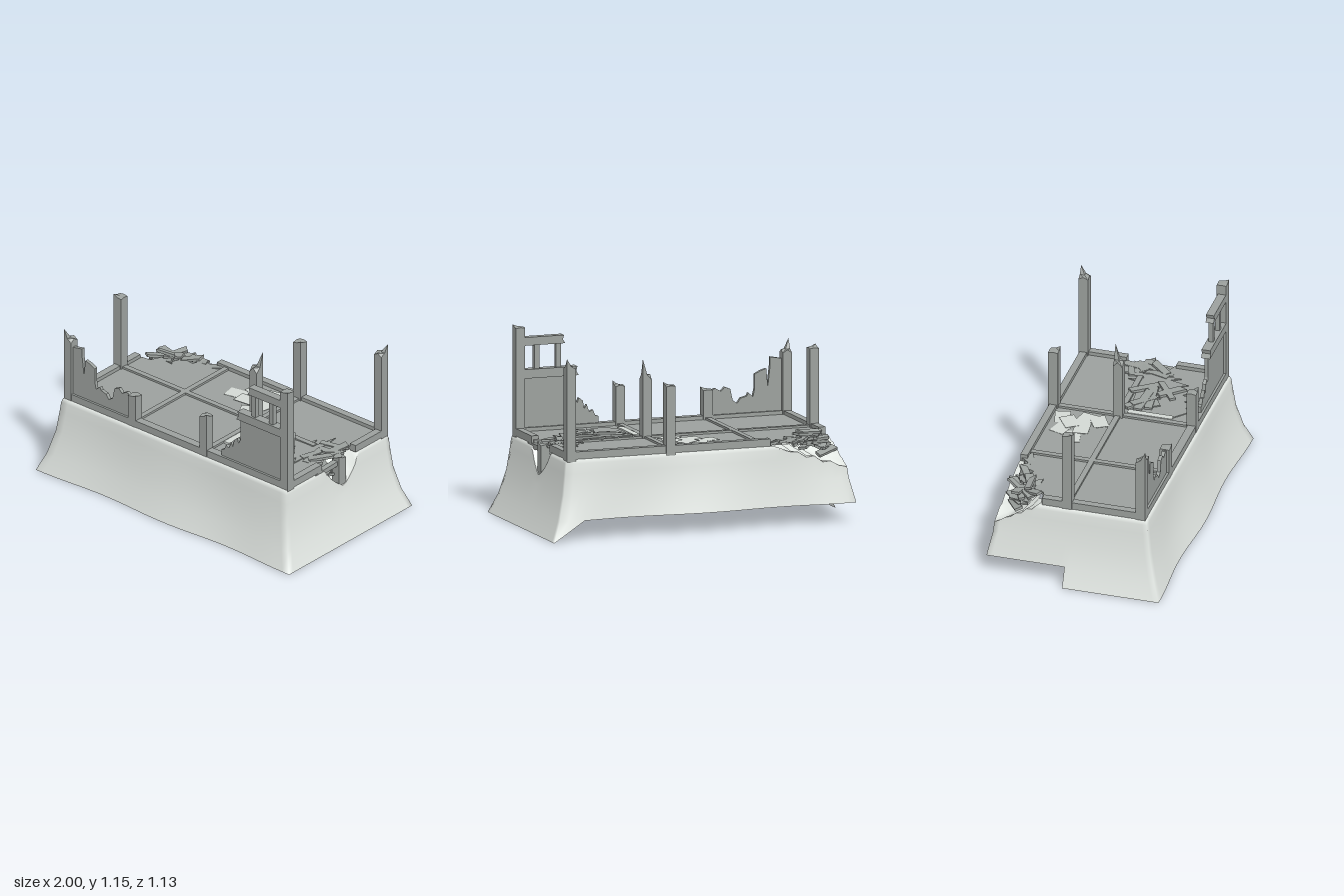
import * as THREE from 'three';

let seed = 7;
const rnd = (a, b) => {
  seed = (seed * 16807) % 2147483647;
  return a + (b - a) * (seed / 2147483647);
};

const wood = new THREE.MeshStandardMaterial({ color: 0x9ba09d, flatShading: true, side: THREE.DoubleSide });
const earth = new THREE.MeshStandardMaterial({ color: 0xe0e5e1, side: THREE.DoubleSide });
const pale = new THREE.MeshStandardMaterial({ color: 0xd2d8d4, flatShading: true, side: THREE.DoubleSide });

export function createModel() {
  seed = 7;
  const model = new THREE.Group();

  const add = (geo, name, mat = wood, parent = model) => {
    const m = new THREE.Mesh(geo, mat);
    m.name = name;
    parent.add(m);
    return m;
  };

  // box given by its lower and upper corners
  const box = (name, x0, x1, y0, y1, z0, z1, mat) => {
    const m = add(new THREE.BoxGeometry(x1 - x0, y1 - y0, z1 - z0), name, mat);
    m.position.set((x0 + x1) / 2, (y0 + y1) / 2, (z0 + z1) / 2);
    return m;
  };

  // beam splintered at its -x end
  const brokenBeam = (name, x0, x1, y0, y1, z, depth) => {
    const g = new THREE.BoxGeometry(x1 - x0, y1 - y0, depth, 1, 2, 1);
    const p = g.attributes.position;
    for (let i = 0; i < p.count; i++) {
      if (p.getX(i) < 0) p.setX(i, p.getX(i) + (p.getY(i) < -0.01 ? -0.008 : p.getY(i) > 0.01 ? 0 : 0.008));
    }
    add(g, name).position.set((x0 + x1) / 2, (y0 + y1) / 2, z);
  };

  // post with a splintered top; sx and sz choose the corner that stays highest
  const post = (name, x, z, bottom, top, jag, sx = 1, sz = 1) => {
    const h = top - bottom;
    const g = new THREE.BoxGeometry(0.058, h, 0.06, 2, 1, 2);
    const p = g.attributes.position;
    for (let i = 0; i < p.count; i++) {
      if (p.getY(i) > 0) {
        const u = (sx * p.getX(i)) / 0.058 + 0.5, v = (sz * p.getZ(i)) / 0.06 + 0.5;
        const dip = u === 0.5 || v === 0.5 ? 0.75 : 1 - u * v;
        p.setY(i, h / 2 - jag * dip);
      }
    }
    add(g, name).position.set(x, bottom + h / 2, z);
  };

  const outline = (pts) => new THREE.Shape(pts.map(([x, y]) => new THREE.Vector2(x, y)));

  // upright board wall with a broken outline (x, y)
  const panel = (name, pts, z) => {
    add(new THREE.ExtrudeGeometry(outline(pts), { depth: 0.022, bevelEnabled: false }), name).position.z = z;
  };

  // flat boards with a broken outline (x, z), y is their top face
  const deck = (name, pts, y, depth) => {
    const g = new THREE.ExtrudeGeometry(outline(pts), { depth, bevelEnabled: false });
    g.rotateX(Math.PI / 2);
    add(g, name).position.y = y;
  };

  // EARTH MOUND: open skirt with a collapsed back corner and a bite on the right
  const rimHeight = (x, z) => {
    let y = 0.485;
    if (x > 0.8) y -= 0.165 * Math.pow(Math.max(0, 1 - Math.abs(z + 0.05) / 0.15), 0.6);
    const a = Math.max(0, x + 0.89) / 0.45 + Math.max(0, z + 0.48) / 0.26;
    if (a < 1) y -= 0.15 * (1 - a) + 0.012 * Math.sin(a * 25);
    return Math.min(y, 0.485);
  };
  const flare = [[0, 0.11], [0.12, 0.06], [0.27, 0.022], [0.4, 0.006], [0.46, 0], [0.485, -0.008]];
  const flareAt = (y) => {
    let k = 1;
    while (k < flare.length - 1 && flare[k][0] < y) k++;
    const [y0, d0] = flare[k - 1], [y1, d1] = flare[k];
    return d0 + ((d1 - d0) * (y - y0)) / (y1 - y0);
  };
  const corners = [[-1, 1], [1, 1], [1, -1], [-1, -1]];
  const ring = [];
  corners.forEach((c, k) => {
    const n = k % 2 ? 30 : 36, e = corners[(k + 1) % 4];
    for (let i = 0; i < n; i++) {
      const t = i / n;
      ring.push([c[0] + (e[0] - c[0]) * t, c[1] + (e[1] - c[1]) * t, k]);
    }
  });
  // rows: the flare, then a lip and an inward slope that fills the collapsed parts
  const N = ring.length, F = flare.length, rows = F + 2, verts = [], idx = [];
  for (let j = 0; j < rows; j++) {
    for (const [u, v, side] of ring) {
      const top = rimHeight(u * 0.89, v * 0.47 - 0.01);
      const drop = 0.485 - top;
      let y, d;
      if (j < F) {
        y = Math.max(0, Math.min(flare[j][0], top - (F - 1 - j) * 0.002));
        d = flareAt(y);
      } else {
        y = j === F ? top : top + drop * 0.8;
        d = j === F ? -0.045 : -0.05 - drop * 1.3;
      }
      const low = Math.max(0, 1 - y / 0.485);
      const wave = j >= F || side % 2 ? 0
        : side === 0 ? low * (0.011 * Math.cos(u * 6.5) - 0.012)
          : low * (0.022 * Math.cos(u * 6) + 0.008) * (1 - u ** 8);
      verts.push(u * (0.89 + d), y, v * (0.47 + d * 0.88 + wave) - 0.01 * (y / 0.485));
    }
  }
  const backStart = ring.findIndex((r) => r[2] === 2);
  for (let j = 0; j < rows - 1; j++) {
    for (let i = 0; i < N; i++) {
      const n = (i + 1) % N, [u, v, side] = ring[i];
      const a = j * N + i, b = j * N + n;
      // the lowest strip is missing along the back and the rear of the left-hand end
      if (j === 0 && side === 2) {
        if (u > 0.88) idx.push(backStart, b + N, a + N);
        continue;
      }
      if (j === 0 && side === 3 && v < -0.12) continue;
      idx.push(a, b, b + N, a, b + N, a + N);
    }
  }
  const skirt = new THREE.BufferGeometry();
  skirt.setAttribute('position', new THREE.Float32BufferAttribute(verts, 3));
  skirt.setIndex(idx);
  skirt.computeVertexNormals();
  add(skirt, 'earthMound', earth);

  // FLOOR with a broken corner and a hole at one end
  deck('floor', [
    [-0.85, 0.43], [0.87, 0.43], [0.87, 0.12], [0.82, 0.1], [0.84, 0.07], [0.76, 0.05], [0.8, 0.02],
    [0.74, 0], [0.79, -0.04], [0.75, -0.08], [0.81, -0.1], [0.78, -0.15], [0.87, -0.2], [0.87, -0.46],
    [-0.42, -0.46], [-0.46, -0.41], [-0.52, -0.42], [-0.55, -0.35], [-0.63, -0.36], [-0.66, -0.28],
    [-0.74, -0.29], [-0.77, -0.22], [-0.85, -0.21],
  ], 0.507, 0.018);
  deck('liftedBoards', [
    [0.28, 0], [0.62, -0.03], [0.64, -0.11], [0.67, -0.02], [0.71, -0.2], [0.73, 0.01], [0.72, 0.2],
    [0.69, 0.14], [0.66, 0.26], [0.62, 0.19], [0.59, 0.3], [0.54, 0.26], [0.52, 0.34], [0.47, 0.29],
    [0.44, 0.37], [0.4, 0.32], [0.36, 0.35], [0.28, 0.28],
  ], 0.513, 0.006);

  // SILL FRAME and floor joists
  box('frontSill', -0.86, 0.86, 0.485, 0.53, 0.395, 0.445);
  box('backSill', -0.42, 0.86, 0.485, 0.53, -0.47, -0.425);
  box('leftEndSill', -0.875, -0.83, 0.485, 0.53, -0.2, 0.42);
  box('rightEndSillFront', 0.84, 0.885, 0.485, 0.53, 0.13, 0.42);
  box('rightEndSillBack', 0.84, 0.885, 0.485, 0.53, -0.45, -0.18);
  box('longJoist', -0.85, 0.68, 0.465, 0.52, -0.062, -0.028);
  for (const x of [-0.345, 0.218]) box('crossJoist', x - 0.017, x + 0.017, 0.465, 0.52, -0.44, 0.41);

  // POSTS: only the middle row reaches far below the floor
  post('frontRightPost', 0.856, 0.417, 0.47, 1.155, 0.015);
  post('backRightPost', 0.856, -0.447, 0.47, 1.1, 0.065, 1, -1);
  post('frontLeftPost', -0.852, 0.417, 0.47, 0.96, 0.08, -1, 1);
  post('leftMiddlePost', -0.852, -0.043, 0.33, 1.005, 0.02, -1, 1);
  post('innerPost', 0.218, -0.043, 0.33, 0.99, 0.13, 1, -1);
  post('backMiddlePost', 0.218, -0.447, 0.47, 0.91, 0.02);
  post('frontMiddlePost', 0.218, 0.417, 0.47, 0.775, 0.03);
  post('frontShortPost', -0.345, 0.417, 0.47, 0.7, 0.015);
  post('brokenEndPost', 0.87, -0.043, 0.32, 0.525, 0.02);

  // STANDING WALL at the front right, with two rails and balusters
  panel('frontRightWall', [
    [0.35, 0.5], [0.83, 0.5], [0.83, 0.84], [0.5, 0.84], [0.5, 0.69], [0.485, 0.66], [0.475, 0.69],
    [0.45, 0.67], [0.44, 0.62], [0.425, 0.645], [0.41, 0.6], [0.385, 0.61], [0.37, 0.575], [0.35, 0.57],
  ], 0.409);
  brokenBeam('lowerRail', 0.49, 0.835, 0.83, 0.885, 0.42, 0.055);
  brokenBeam('upperRail', 0.575, 0.835, 1.03, 1.08, 0.42, 0.05);
  for (const x of [0.607, 0.745]) box('baluster', x - 0.016, x + 0.016, 0.88, 1.035, 0.405, 0.435);

  // BROKEN WALL at the front left
  panel('frontLeftWall', [
    [-0.83, 0.5], [-0.37, 0.5], [-0.37, 0.68], [-0.4, 0.69], [-0.435, 0.67], [-0.46, 0.695], [-0.495, 0.68],
    [-0.51, 0.61], [-0.54, 0.59], [-0.56, 0.62], [-0.6, 0.63], [-0.61, 0.65], [-0.64, 0.625], [-0.65, 0.67],
    [-0.65, 0.76], [-0.69, 0.78], [-0.725, 0.79], [-0.735, 0.68], [-0.75, 0.81], [-0.75, 0.86], [-0.83, 0.845],
  ], 0.409);

  // RUBBLE: loose planks scattered inside a box-shaped area, turned about a main direction
  const scatter = (name, n, [x0, x1], [y0, y1], [z0, z1], len, tilt, turn, spread, follow) => {
    const g = new THREE.Group();
    g.name = name;
    model.add(g);
    for (let i = 0; i < n; i++) {
      const geo = new THREE.BoxGeometry(rnd(len * 0.7, len * 1.2), 0.016, rnd(0.035, 0.055));
      const p = geo.attributes.position;
      const skew = rnd(-0.02, 0.02);
      for (let k = 0; k < p.count; k++) if (p.getX(k) > 0) p.setX(k, p.getX(k) + Math.sign(p.getZ(k)) * skew);
      const m = add(geo, 'plank', wood, g);
      const x = rnd(x0, x1), z = rnd(z0, z1);
      m.position.set(x, follow ? rimHeight(x, z) + rnd(y0, y1) : rnd(y0, y1), z);
      m.rotation.set(rnd(-tilt, tilt), turn + rnd(-spread, spread), rnd(-tilt, tilt), 'YXZ');
    }
  };
  scatter('cornerRubble', 15, [-0.81, -0.66], [0.01, 0.05], [-0.42, -0.28], 0.14, 0.3, 0.4, 0.8, true);
  scatter('backRubble', 7, [-0.66, -0.44], [0, 0.025], [-0.44, -0.38], 0.13, 0.2, 0.2, 0.5, true);
  scatter('floorRubble', 8, [0.38, 0.56], [0.515, 0.525], [0.02, 0.2], 0.22, 0.03, 0, 0.9);
  scatter('endRubble', 11, [0.72, 0.81], [0.485, 0.515], [-0.13, 0.08], 0.14, 0.1, 0.9, 0.9);
  scatter('pitRubble', 9, [0.79, 0.83], [0.38, 0.45], [-0.1, 0.04], 0.1, 0.12, 1.57, 0.4);
  box('fallenSill', 0.85, 0.885, 0.457, 0.487, -0.02, 0.19).rotation.x = 0.04;

  // PALE SLAB and flat sheets lying on the floor
  box('fallenSlab', 0.24, 0.28, 0.507, 0.522, 0.0, 0.28, pale);
  [[-0.1, -0.24, 0.2], [-0.02, -0.33, -0.3], [0.1, -0.36, 0.25], [0.11, -0.22, -0.2],
    [0.1, -0.13, 0.5], [0.0, -0.21, 0.1], [0.05, -0.3, 0.6]].forEach(([x, z, r], i) => {
    const s = add(new THREE.BoxGeometry(0.13, 0.002, 0.095), 'sheet', pale);
    s.position.set(x, 0.509 + i * 0.0015, z);
    s.rotation.y = r;
  });

  return model;
}
